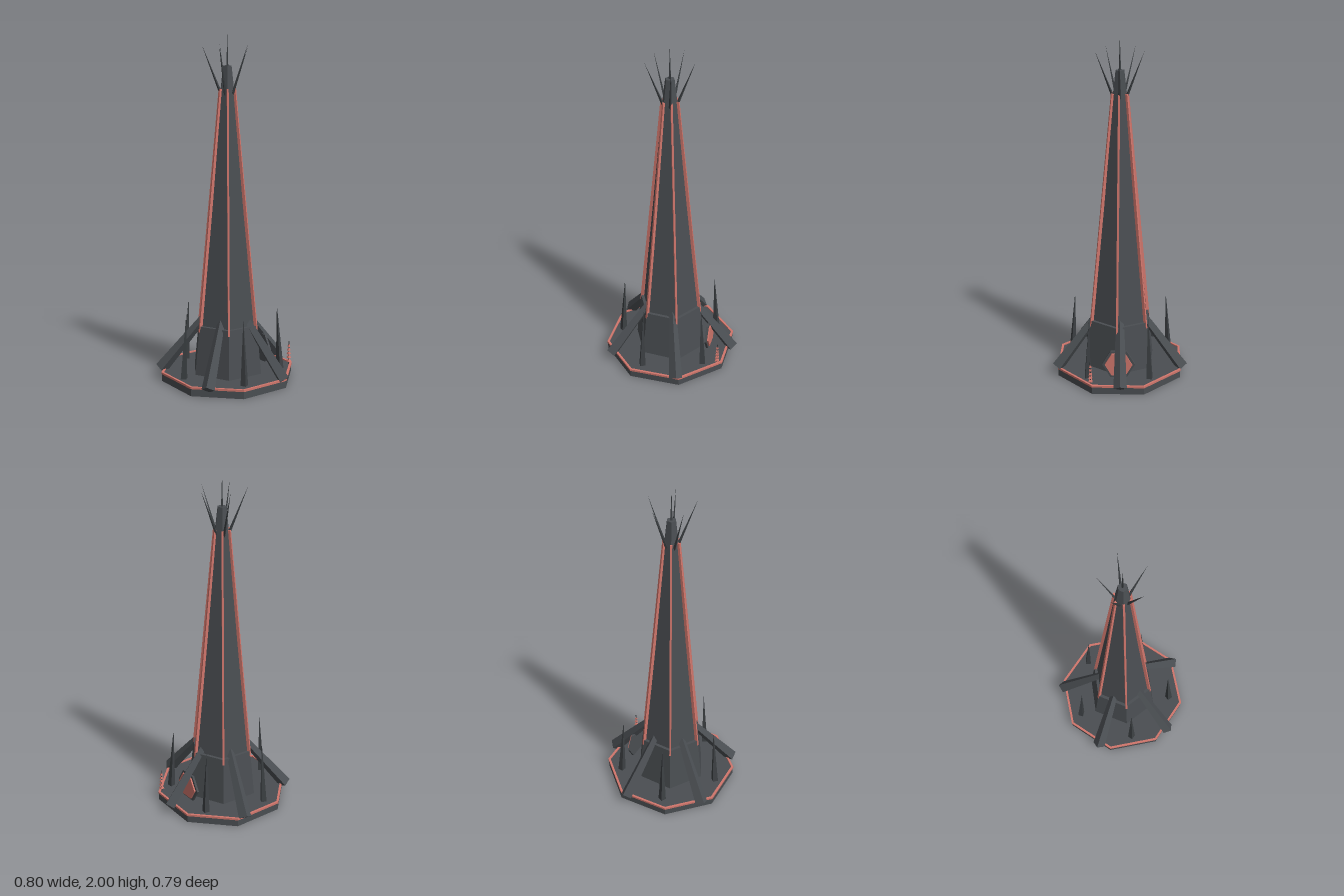
import * as THREE from 'three';

const paint = (name, color) => {
  const m = new THREE.MeshStandardMaterial({ color });
  m.name = name;
  m.flatShading = true;
  return m;
};

export function createModel() {
  const stone = paint('slate', 0x4a4e52);
  const dark = paint('dark slate', 0x3c4043);
  const glow = paint('ember red', 0xd0766c);

  const model = new THREE.Group();
  model.name = 'spire';
  const centre = new THREE.Group();
  centre.name = 'tower';
  centre.position.set(0.002, 0, 0.028);
  model.add(centre);

  const add = (name, geo, mat, parent = centre) => {
    const mesh = new THREE.Mesh(geo, mat);
    mesh.name = name;
    parent.add(mesh);
    return mesh;
  };

  // Upright prism or frustum between two heights
  const frustum = (name, r0, r1, y0, y1, sides, mat, turn = 0, parent = centre) => {
    const mesh = add(name, new THREE.CylinderGeometry(r1, r0, y1 - y0, sides), mat, parent);
    mesh.position.y = (y0 + y1) / 2;
    mesh.rotation.y = turn;
    return mesh;
  };

  // Arm at a bearing, running between two [radius, height] points
  const arm = (name, bearing, from, to, makeGeo, mat) => {
    const pivot = new THREE.Group();
    pivot.name = name + 'Pivot';
    pivot.rotation.y = bearing;
    centre.add(pivot);
    const a = new THREE.Vector3(0, from[1], from[0]);
    const b = new THREE.Vector3(0, to[1], to[0]);
    const dir = b.clone().sub(a);
    const mesh = add(name, makeGeo(dir.length()), mat, pivot);
    mesh.position.copy(a).add(b).multiplyScalar(0.5);
    mesh.quaternion.setFromUnitVectors(new THREE.Vector3(0, 1, 0), dir.normalize());
  };

  // Octagonal platform with a red rim
  const octagon = (r) => Array.from({ length: 8 }, (_, i) => {
    const a = Math.PI / 8 + i * Math.PI / 4;
    return new THREE.Vector2(r * Math.cos(a), r * Math.sin(a));
  });
  frustum('platform', 0.394, 0.394, 0, 0.048, 8, stone, Math.PI / 8);
  const rimShape = new THREE.Shape(octagon(0.398));
  rimShape.holes.push(new THREE.Path(octagon(0.384)));
  const rim = add('platformRim', new THREE.ExtrudeGeometry(rimShape, { depth: 0.012, bevelEnabled: false }), glow);
  rim.rotation.x = -Math.PI / 2;
  rim.position.y = 0.043;

  // Six-sided tower in three tiers
  const twist = -0.06;
  frustum('plinth', 0.222, 0.192, 0.045, 0.335, 6, stone, twist);
  frustum('shaft', 0.172, 0.045, 0.335, 1.68, 6, stone, twist);
  frustum('shaftCap', 0.045, 0.027, 1.68, 1.83, 6, stone, twist);
  frustum('mast', 0.007, 0.0005, 1.82, 2.0, 4, dark);

  // Glowing seams along the shaft corners
  for (let i = 0; i < 6; i++) {
    arm('cornerSeam', twist + i * Math.PI / 3, [0.187, 0.3], [0.044, 1.7],
      (len) => new THREE.BoxGeometry(0.011, len, 0.018), glow);
  }

  // Buttresses, platform spikes and crown spikes in rings of five
  for (let i = 0; i < 5; i++) {
    const step = i * Math.PI * 2 / 5;
    arm('buttress', Math.PI + 0.035 + step, [0.392, 0.052], [0.12, 0.385],
      (len) => new THREE.CylinderGeometry(0.022, 0.039, len, 4), stone);
    arm('platformSpike', step, [0.31, 0.045], [0.29, 0.435],
      (len) => new THREE.ConeGeometry(0.023, len, 4), dark);
    arm('crownSpike', Math.PI + step, [0.032, 1.66], [0.143, 1.945],
      (len) => new THREE.ConeGeometry(0.009, len, 4), dark);
  }

  // Round gate standing on the back of the platform
  const disc = (name, r, depth, z, mat) => {
    const mesh = add(name, new THREE.CylinderGeometry(r, r, depth, 6), mat, model);
    mesh.rotation.set(Math.PI / 2, Math.PI / 6, 0, 'XYZ');
    mesh.position.set(0.002, 0.135, z);
  };
  disc('gateFrame', 0.097, 0.013, -0.219, stone);
  disc('gateGlow', 0.081, 0.009, -0.23, glow);

  // Small tiered beacon on the platform edge
  const beacon = new THREE.Group();
  beacon.name = 'beacon';
  beacon.position.set(0.163, 0, -0.309);
  model.add(beacon);
  frustum('beaconPole', 0.004, 0.003, 0.045, 0.19, 4, dark, 0, beacon);
  for (let i = 0; i < 5; i++) {
    const r = 0.017 - i * 0.002;
    frustum('beaconTier', r, r * 0.6, 0.065 + i * 0.023, 0.077 + i * 0.023, 4, glow, Math.PI / 4, beacon);
  }
  return model;
}
